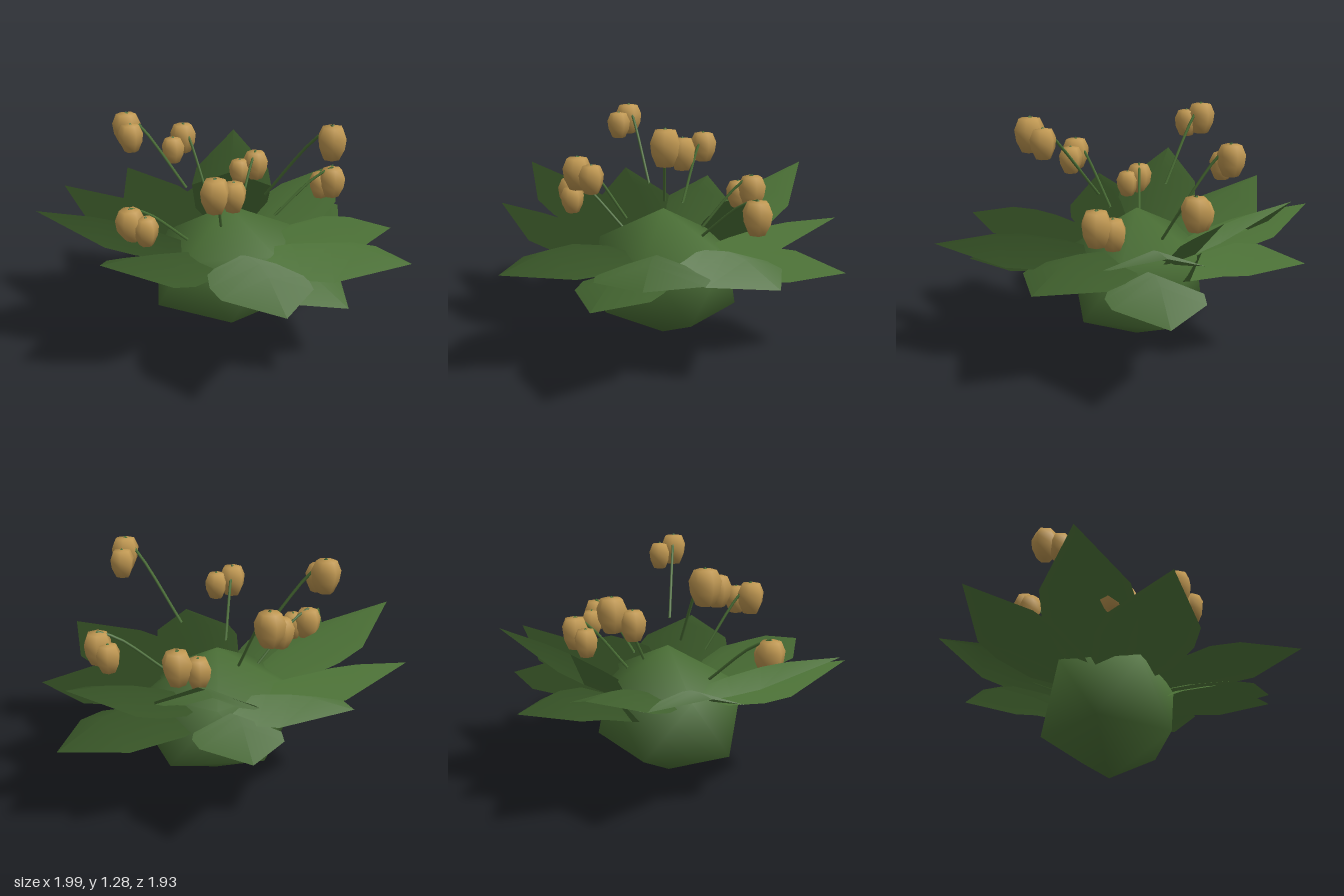
import * as THREE from 'three';

const green = new THREE.MeshStandardMaterial({ color: 0x4b7036, side: THREE.DoubleSide });
green.name = 'leafGreen';
const ochre = new THREE.MeshStandardMaterial({ color: 0xbf9751 });
ochre.name = 'berryOchre';

const CX = 0.05, CZ = -0.075; // middle of the bulb

function add(parent, name, geometry, material) {
  const mesh = new THREE.Mesh(geometry, material);
  mesh.name = name;
  parent.add(mesh);
  return mesh;
}

// Bulb: two five-sided rings, half a step apart, between two poles
function bulbGeometry() {
  const pos = [CX, 0, CZ, CX, 0.74, CZ], idx = [];
  for (let i = 0; i < 5; i++) {
    const a = (i * 2 * Math.PI) / 5;
    pos.push(CX - 0.43 * Math.cos(a), 0.2, CZ + 0.363 * Math.sin(a));
    const b = a + Math.PI / 5;
    pos.push(CX - 0.43 * Math.cos(b), 0.54, CZ + 0.363 * Math.sin(b));
    const low = 2 + i * 2, high = low + 1;
    const nextLow = 2 + ((i + 1) % 5) * 2, nextHigh = nextLow + 1;
    idx.push(0, nextLow, low, low, nextLow, high, nextLow, nextHigh, high, high, nextHigh, 1);
  }
  const g = new THREE.BufferGeometry();
  g.setAttribute('position', new THREE.Float32BufferAttribute(pos, 3));
  g.setIndex(idx);
  g.computeVertexNormals();
  return g;
}

// Broad pointed leaf: three points across each row, arched lengthwise, with drooping edges.
// Its normals lean outward so the foliage shades as one soft mass.
function leafGeometry(tip, rootY, width, lift, droop) {
  const out = new THREE.Vector3(tip.x - CX, 0, tip.z - CZ).normalize();
  const side = new THREE.Vector3(0, 1, 0).cross(out);
  const root = new THREE.Vector3(CX, rootY, CZ).addScaledVector(out, 0.22);
  const rows = [[0, 0.45], [0.22, 0.85], [0.48, 1], [0.66, 0.92], [1, 0]];
  const pos = [], nor = [], idx = [];
  rows.forEach(([t, w], i) => {
    for (let j = -1; j <= 1; j++) {
      const p = root.clone().lerp(tip, t).addScaledVector(side, j * w * width);
      p.y += lift * Math.sin(Math.PI * t) - Math.abs(j) * w * droop;
      pos.push(p.x, p.y, p.z);
      const n = out.clone().multiplyScalar(0.85).addScaledVector(side, j * 0.15);
      n.y = 0.5;
      n.normalize();
      nor.push(n.x, n.y, n.z);
    }
    if (i === rows.length - 1) return;
    for (let j = 0; j < 2; j++) {
      const a = i * 3 + j, b = a + 3;
      idx.push(a, b, a + 1);
      if (i < rows.length - 2) idx.push(b, b + 1, a + 1);
    }
  });
  const g = new THREE.BufferGeometry();
  g.setAttribute('position', new THREE.Float32BufferAttribute(pos, 3));
  g.setAttribute('normal', new THREE.Float32BufferAttribute(nor, 3));
  g.setIndex(idx);
  return g;
}

// Six-sided berry, widest above the middle
const berryGeometry = new THREE.LatheGeometry([
  [0, -0.095], [0.043, -0.088], [0.07, -0.03], [0.077, 0.025], [0.054, 0.077], [0, 0.083],
].map(([x, y]) => new THREE.Vector2(x, y)), 6);

export function createModel() {
  const model = new THREE.Group();
  model.name = 'berryPlant';

  add(model, 'bulb', bulbGeometry(), green);

  // Leaves: tip x, y, z, half width, root height, arch, edge droop
  const leaves = new THREE.Group();
  leaves.name = 'leaves';
  model.add(leaves);
  [
    [-0.26, 0.73, -0.97, 0.24, 0.53, 0.04, 0.09],
    [0.45, 0.925, -0.88, 0.25, 0.53, 0.03, 0.09],
    [0.92, 0.77, -0.38, 0.24, 0.53, 0.04, 0.09],
    [0.95, 0.56, 0.22, 0.26, 0.53, 0.10, 0.10],
    [0.63, 0.66, 0.83, 0.28, 0.53, 0.07, 0.10],
    [-0.13, 0.60, 0.96, 0.25, 0.53, 0.10, 0.10],
    [-0.80, 0.72, 0.35, 0.26, 0.53, 0.02, 0.10],
    [-1.00, 0.87, -0.08, 0.24, 0.54, 0.04, 0.09],
    [-0.73, 0.77, -0.68, 0.25, 0.53, 0.03, 0.09],
    // lower leaves, springing from further down the bulb
    [0.23, 0.55, -0.97, 0.22, 0.42, 0.13, 0.11],
    [0.99, 0.475, -0.41, 0.24, 0.42, 0.13, 0.11],
    [0.30, 0.47, 0.80, 0.22, 0.45, 0.10, 0.09],
  ].forEach(([x, y, z, ...shape]) =>
    add(leaves, 'leaf', leafGeometry(new THREE.Vector3(x, y, z), shape[1], shape[0], shape[2], shape[3]), green));

  // Berry sprigs: stem base, large berry centre, small berry centre
  const V = (a) => new THREE.Vector3(...a);
  [
    [[0.02, 0.72, -0.30], [-0.025, 1.01, -0.565], [-0.11, 0.96, -0.51]],
    [[0.20, 0.62, -0.24], [0.395, 0.825, -0.435], [0.295, 0.79, -0.45]],
    [[0.33, 0.64, -0.05], [0.68, 0.81, -0.01], [0.645, 0.775, -0.08]],
    [[0.19, 0.84, 0.10], [0.41, 1.185, 0.39], [0.45, 1.15, 0.31]],
    [[-0.07, 0.70, 0.10], [-0.205, 0.975, 0.335], [-0.105, 0.955, 0.335]],
    [[-0.20, 0.58, -0.04], [-0.55, 0.765, 0.03], [-0.485, 0.74, 0.09]],
    [[-0.15, 0.83, -0.20], [-0.43, 1.165, -0.355], [-0.435, 1.135, -0.27]],
  ].forEach(([base, big, small], i) => {
    const sprig = new THREE.Group();
    sprig.name = 'berrySprig';
    model.add(sprig);
    const a = V(base), b = V(big), top = b.clone();
    top.y += 0.085;
    const bend = a.clone().lerp(top, 0.7);
    bend.y += 0.03;
    const path = new THREE.CatmullRomCurve3([a, bend, top]);
    add(sprig, 'stem', new THREE.TubeGeometry(path, 6, 0.008, 5), green);
    [[b, 1], [V(small), 0.87]].forEach(([p, s]) => {
      const berry = add(sprig, 'berry', berryGeometry, ochre);
      berry.position.copy(p);
      berry.scale.setScalar(s);
      berry.rotation.y = i * 0.9;
      // small nub on the crown
      const nub = add(sprig, 'berryNub', new THREE.ConeGeometry(0.009, 0.01, 5), green);
      nub.position.set(p.x, p.y + 0.083 * s + 0.003, p.z);
    });
  });

  return model;
}
